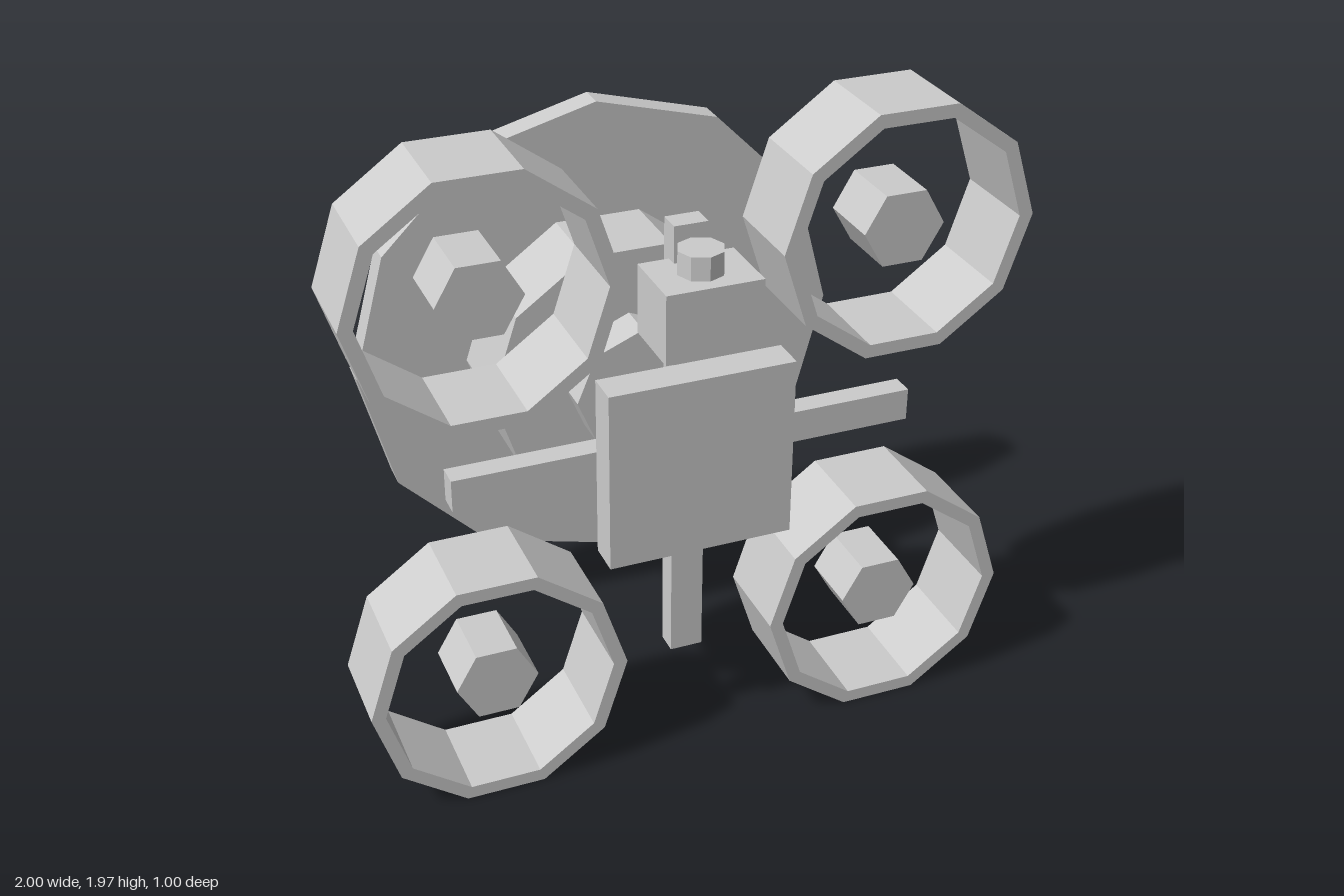
import * as THREE from 'three';

const material = new THREE.MeshStandardMaterial({ color: 0xcccccc, flatShading: true });

export function createModel() {
  const model = new THREE.Group();
  model.name = 'fourRotorCraft';
  const midY = 0.985;

  function add(name, geometry, x, y, z) {
    const mesh = new THREE.Mesh(geometry, material);
    mesh.name = name;
    mesh.position.set(x, y, z);
    model.add(mesh);
    return mesh;
  }

  // Box given by its extents on each axis
  function box(name, x0, x1, y0, y1, z0, z1) {
    return add(name, new THREE.BoxGeometry(x1 - x0, y1 - y0, z1 - z0),
      (x0 + x1) / 2, (y0 + y1) / 2, (z0 + z1) / 2);
  }

  // Regular polygon with a corner on the +x axis
  function polygon(radius, sides) {
    const points = [];
    for (let i = 0; i < sides; i++) {
      const a = (i / sides) * Math.PI * 2;
      points.push(new THREE.Vector2(radius * Math.cos(a), radius * Math.sin(a)));
    }
    return points;
  }

  // Polygonal prism along z, with an optional bore
  function prism(name, radius, sides, x, y, z0, z1, bore = 0) {
    const shape = new THREE.Shape(polygon(radius, sides));
    if (bore) shape.holes.push(new THREE.Path(polygon(bore, sides)));
    const geometry = new THREE.ExtrudeGeometry(shape, { depth: z1 - z0, bevelEnabled: false });
    return add(name, geometry, x, y, z0);
  }

  // Four ducted rotors, each a ring with a free hub
  for (const sx of [-1, 1]) {
    for (const y of [0.367, 1.6]) {
      const label = (y > 1 ? 'upper' : 'lower') + (sx > 0 ? 'Left' : 'Right');
      prism(label + 'Duct', 0.385, 10, sx * 0.615, y, 0.15, 0.43, 0.343);
      prism(label + 'Hub', 0.123, 6, sx * 0.615, y, 0.19, 0.39);
    }
  }

  // Stepped dish behind the frame
  prism('backDisc', 0.787, 12, 0, midY, -0.5, -0.415);
  prism('middleDrum', 0.438, 10, 0, midY, -0.415, -0.15);
  prism('frontDrum', 0.21, 8, 0, midY, -0.15, -0.03);

  // Cross frame and central body
  box('crossArm', -0.703, 0.703, 0.935, 1.035, 0.255, 0.325);
  box('uprightArm', -0.05, 0.05, 0.285, 1.69, 0.255, 0.325);
  box('bodyPlate', -0.28, 0.28, 0.705, 1.267, 0.325, 0.43);
  box('rearPad', -0.122, 0.122, 0.862, 1.107, 0.15, 0.217);

  // Camera box with a knob on top
  box('cameraBox', -0.142, 0.142, 1.372, 1.58, 0.29, 0.5);
  add('cameraKnob', new THREE.CylinderGeometry(0.068, 0.068, 0.07, 8), 0, 1.615, 0.393);

  return model;
}
